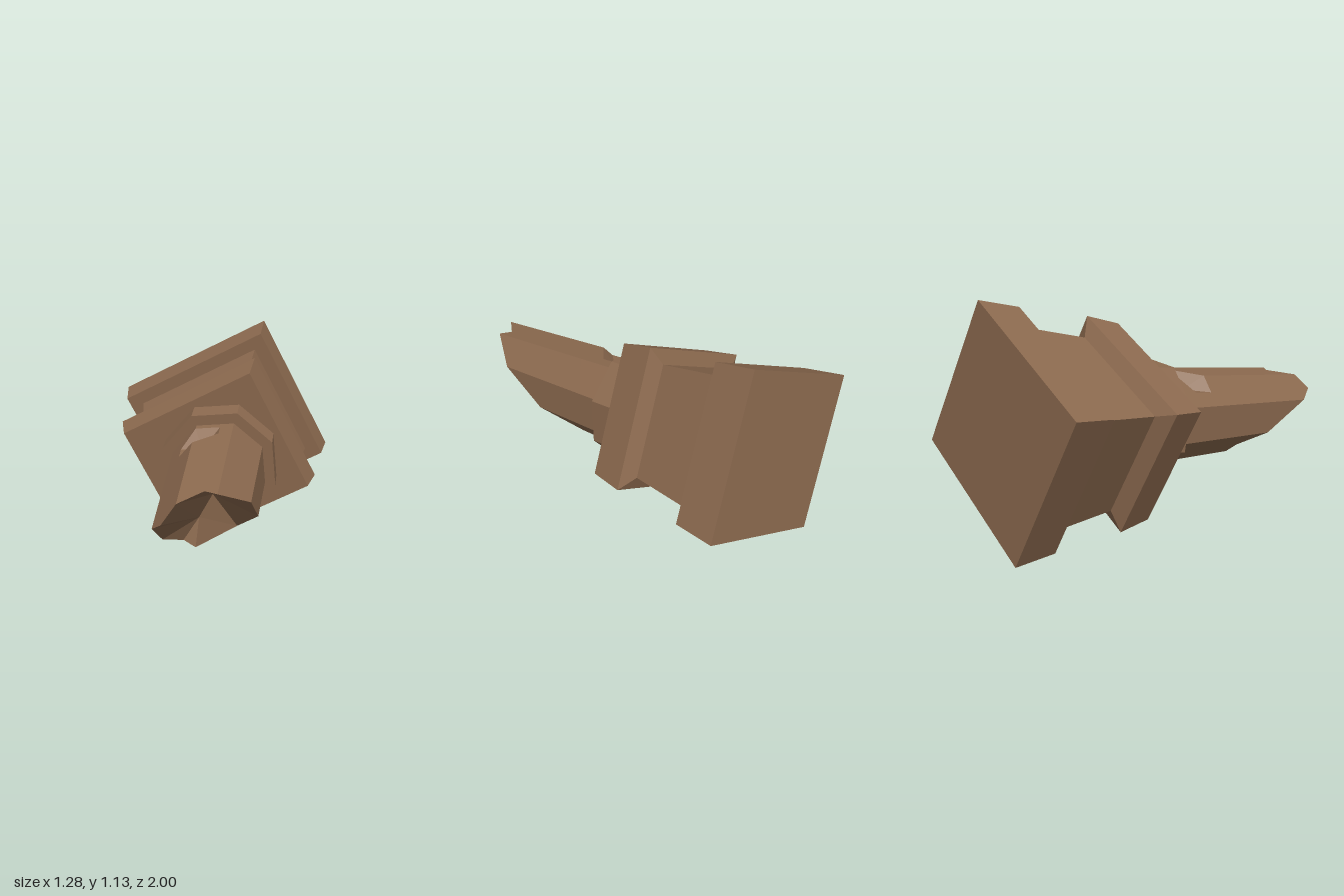
import * as THREE from 'three';

const stone = new THREE.MeshStandardMaterial({ color: 0x8c6a4f, flatShading: true });
stone.name = 'brown stone';

// Mesh from a list of triangles, each three Vector3 corners
function faceted(name, tris) {
  const g = new THREE.BufferGeometry().setFromPoints(tris.flat());
  g.computeVertexNormals();
  const m = new THREE.Mesh(g, stone);
  m.name = name;
  return m;
}

// Side walls between successive loops that run anticlockwise seen from +z
function walls(loops) {
  const tris = [];
  for (let j = 0; j < loops.length - 1; j++) {
    const a = loops[j], b = loops[j + 1], n = a.length;
    for (let i = 0; i < n; i++) {
      const k = (i + 1) % n;
      tris.push([a[i], a[k], b[k]], [a[i], b[k], b[i]]);
    }
  }
  return tris;
}

function caps(loops) {
  const a = loops[0], b = loops[loops.length - 1], tris = [];
  for (let i = 1; i < a.length - 1; i++) {
    tris.push([a[0], a[i + 1], a[i]], [b[0], b[i], b[i + 1]]);
  }
  return tris;
}

function solid(name, loops) {
  return faceted(name, [...walls(loops), ...caps(loops)]);
}

const rect = (z, x, y) =>
  [[1, 1], [-1, 1], [-1, -1], [1, -1]].map(([a, b]) => new THREE.Vector3(a * x, b * y, z));

const OFFSET = 0.03; // shaft sits slightly off the plinth centre
const octagon = (z, r) => Array.from({ length: 8 }, (_, i) =>
  new THREE.Vector3(OFFSET + r * Math.cos(i * Math.PI / 4), r * Math.sin(i * Math.PI / 4), z));

function brokenShaft() {
  // Columns round the shaft: position in 45 degree steps, height of the break
  const columns = [[0, 1.65], [1, 1.826], [1.35, 1.786], [2, 1.905], [2.55, 1.966], [3, 1.88],
    [4, 1.615], [4.6, 1.46], [5, 1.439], [6, 1.194], [7, 1.398]];
  const at = (step, z, scale = 1) => {
    const r = (0.245 - 0.033 * (z - 0.945)) * scale;
    const i = Math.floor(step), f = step - i;
    const c = (k, fn) => fn(k * Math.PI / 4);
    return new THREE.Vector3(
      OFFSET + r * ((1 - f) * c(i, Math.cos) + f * c(i + 1, Math.cos)),
      r * ((1 - f) * c(i, Math.sin) + f * c(i + 1, Math.sin)), z);
  };
  // The chip pushes the upper ridge inward at one level
  const loops = [0.945, 0.99, 1.08, 1.185].map(z =>
    columns.map(([s]) => at(s, z, s === 2 && z === 1.08 ? 0.64 : 1)));
  const rim = columns.map(([s, z]) => at(s, z));
  const tris = walls([...loops, rim]);

  // Hollowed, jagged break closing the end
  const c1 = new THREE.Vector3(0.03, 0, 1.31);
  const c2 = new THREE.Vector3(-0.06, -0.05, 1.39);
  const n = rim.length;
  for (let i = 0; i < n; i++) {
    const centre = i >= 3 && i < 9 ? c2 : c1;
    tris.push([centre, rim[i], rim[(i + 1) % n]]);
  }
  tris.push([c1, rim[3], c2], [c1, c2, rim[9]]);
  return faceted('brokenShaft', tris);
}

export function createModel() {
  const column = new THREE.Group();
  column.name = 'fallenColumn';
  column.add(
    solid('baseBlock', [rect(0, 0.45, 0.411), rect(0.22, 0.428, 0.39)]),
    solid('pedestal', [rect(0.215, 0.358, 0.325), rect(0.58, 0.314, 0.288)]),
    solid('collar', [rect(0.575, 0.314, 0.288), rect(0.6135, 0.397, 0.36), rect(0.798, 0.365, 0.337)]),
    solid('shaftRing', [octagon(0.79, 0.302), octagon(0.945, 0.3)]),
    brokenShaft()
  );

  // Tilt of the toppled column: its own axes in model space
  const w = new THREE.Vector3(-0.291, -0.1, 0.953).normalize();
  const u = new THREE.Vector3(0.843, 0.445, 0.304);
  u.addScaledVector(w, -u.dot(w)).normalize();
  const v = new THREE.Vector3().crossVectors(w, u);
  column.quaternion.setFromRotationMatrix(new THREE.Matrix4().makeBasis(u, v, w));
  column.position.set(0.075, 0.571, -0.844);

  const model = new THREE.Group();
  model.add(column);
  return model;
}
